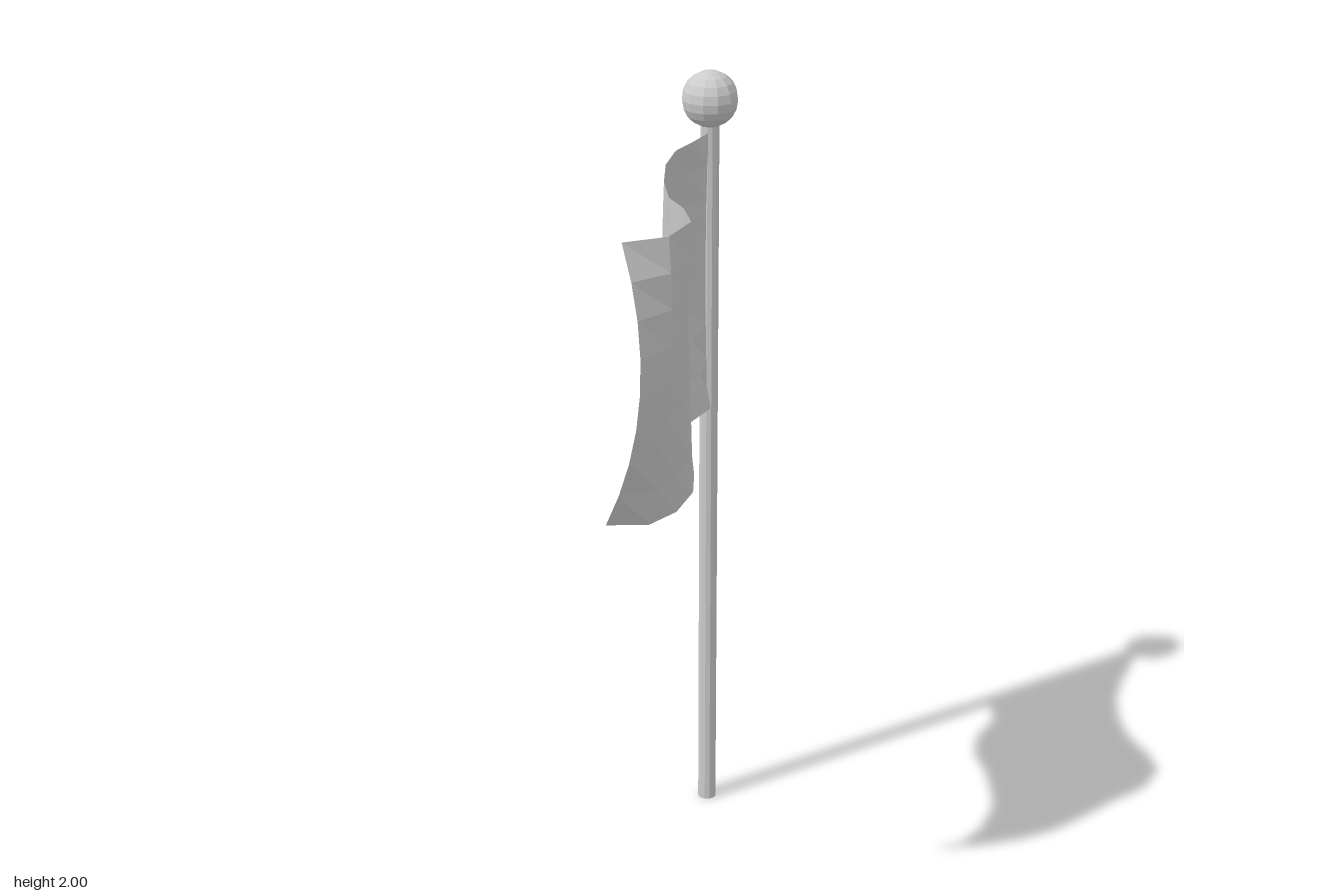
import * as THREE from 'three';

const POLE_X = -0.033, POLE_Z = -0.423;

// Flag edges from hoist to fly, as [x, y, z]: top, middle and bottom lines of the cloth
const TOP = [[-0.03, 1.85, -0.41], [-0.045, 1.855, -0.3], [-0.062, 1.86, -0.2], [-0.06, 1.855, -0.1], [-0.038, 1.845, 0],
  [0, 1.84, 0.1], [0.06, 1.85, 0.2], [0.1, 1.85, 0.29], [0.075, 1.845, 0.39], [-0.013, 1.845, 0.455]];
const MID = [[-0.033, 1.52, -0.41], [-0.073, 1.52, -0.3], [-0.078, 1.52, -0.2], [-0.064, 1.52, -0.1], [-0.028, 1.51, 0],
  [0.022, 1.51, 0.1], [0.07, 1.51, 0.19], [0.088, 1.51, 0.29], [0.08, 1.51, 0.4], [0.036, 1.51, 0.492]];
const BOTTOM = [[-0.033, 1.18, -0.41], [0, 1.17, -0.31], [-0.03, 1.165, -0.21], [-0.02, 1.16, -0.11], [0.02, 1.165, -0.02],
  [0.058, 1.16, 0.09], [0.078, 1.155, 0.18], [0.066, 1.15, 0.29], [0.025, 1.152, 0.38], [-0.06, 1.167, 0.44]];

// Cloth surface: each column is a parabola through its top, middle and bottom points
function flagGeometry(rows) {
  const cols = TOP.length - 1;
  const geo = new THREE.PlaneGeometry(1, 1, cols, rows);
  const pos = geo.attributes.position;
  for (let r = 0; r <= rows; r++) {
    const t = r / rows;
    const a = (1 - t) * (1 - 2 * t), b = 4 * t * (1 - t), c = t * (2 * t - 1);
    for (let i = 0; i <= cols; i++) {
      const p = [0, 1, 2].map(k => a * TOP[i][k] + b * MID[i][k] + c * BOTTOM[i][k]);
      pos.setXYZ(r * (cols + 1) + i, ...p);
    }
  }
  geo.computeVertexNormals();
  return geo;
}

export function createModel() {
  const group = new THREE.Group();
  const grey = new THREE.MeshStandardMaterial({ color: 0xcccccc, flatShading: true });
  const cloth = new THREE.MeshStandardMaterial({ color: 0xcccccc, flatShading: true, side: THREE.DoubleSide });

  const add = (name, geometry, material, x = 0, y = 0, z = 0) => {
    const mesh = new THREE.Mesh(geometry, material);
    mesh.name = name;
    mesh.position.set(x, y, z);
    group.add(mesh);
  };

  // Pole from the ground into the ball
  add('pole', new THREE.CylinderGeometry(0.024, 0.024, 1.88, 12), grey, POLE_X, 0.94, POLE_Z);
  // Ball on top
  add('finial', new THREE.SphereGeometry(0.07, 12, 10), grey, POLE_X, 1.93, POLE_Z);
  // Waving cloth
  add('flag', flagGeometry(8), cloth);

  return group;
}
